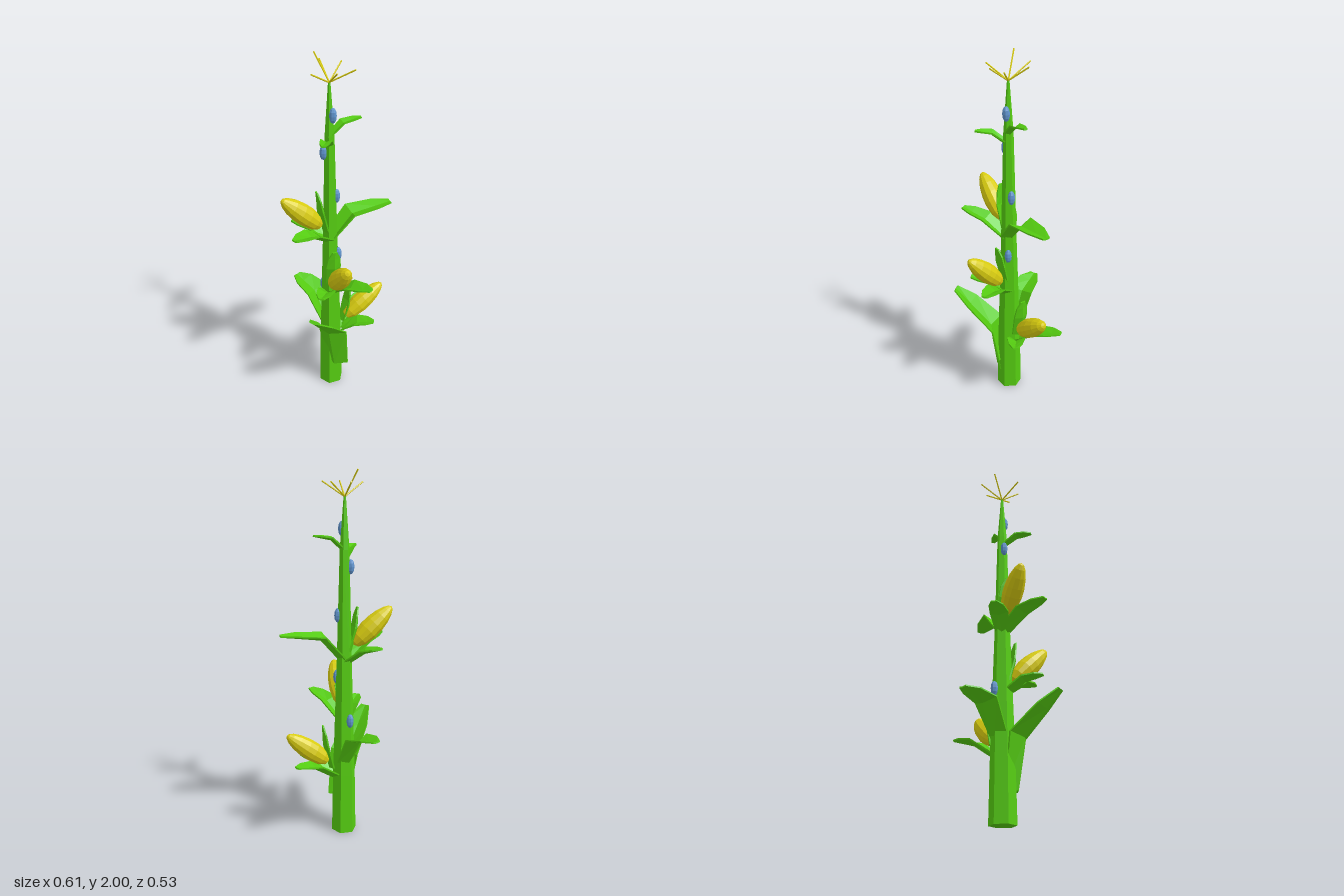
import * as THREE from 'three';

const V = (x, y, z) => new THREE.Vector3(x, y, z);
const UP = V(0, 1, 0);
const mat = (color, opts = {}) => new THREE.MeshStandardMaterial({ color, flatShading: true, ...opts });

export function createModel() {
  const plant = new THREE.Group();
  plant.name = 'cornPlant';
  const green = mat(0x55cc11);
  const leafGreen = mat(0x55cc11, { side: THREE.DoubleSide });
  const yellow = mat(0xd8cc10);
  const blue = mat(0x5f93cc);

  const add = (parent, name, geometry, material) => {
    const mesh = new THREE.Mesh(geometry, material);
    mesh.name = name;
    parent.add(mesh);
    return mesh;
  };

  // Place a mesh modelled along +y so that it points from a to b
  const aim = (mesh, a, b) => {
    mesh.position.copy(a);
    mesh.quaternion.setFromUnitVectors(UP, b.clone().sub(a).normalize());
    return mesh;
  };

  // Leaf: folded trough with a little thickness, lofted along base - bend - tip
  const leafGeometry = (base, bend, tip, width, baseWidth = 0.75) => {
    const spine = [base, bend, bend.clone().lerp(tip, 0.6), tip];
    const widths = [baseWidth, 1, 0.78, 0.3];
    const folds = [0.35, 0.27, 0.2, 0.1];
    const thick = 0.008;
    const out = tip.clone().sub(base).setY(0).normalize();
    const side = UP.clone().cross(out).normalize();
    const pos = [], index = [];
    spine.forEach((p, i) => {
      const along = spine[Math.min(i + 1, 3)].clone().sub(spine[Math.max(i - 1, 0)]).normalize();
      const normal = along.cross(side).normalize();
      const half = width * widths[i] / 2;
      const depth = half * folds[i] * 2;
      // ring: upper left, upper middle, upper right, lower right, lower middle, lower left
      for (const [s, lift] of [[-1, 0], [0, 0], [1, 0], [1, -thick], [0, -thick], [-1, -thick]]) {
        const q = p.clone().addScaledVector(side, s * half)
          .addScaledVector(normal, Math.abs(s) * depth * 0.8 + lift);
        pos.push(q.x, q.y, q.z);
      }
    });
    for (let i = 0; i < 3; i++) {
      for (let j = 0; j < 6; j++) {
        const a = i * 6 + j, b = i * 6 + (j + 1) % 6;
        index.push(a, a + 6, b, b, a + 6, b + 6);
      }
    }
    for (const [o, flip] of [[0, false], [18, true]]) {
      for (const [a, b, c] of [[0, 1, 5], [1, 4, 5], [1, 2, 4], [2, 3, 4]]) {
        index.push(o + a, o + (flip ? c : b), o + (flip ? b : c));
      }
    }
    const g = new THREE.BufferGeometry();
    g.setAttribute('position', new THREE.Float32BufferAttribute(pos, 3));
    g.setIndex(index);
    g.computeVertexNormals();
    return g;
  };

  // Hexagonal tapering stalk
  const stalkProfile = [[0, 0], [0.07, 0], [0.063, 0.35], [0.055, 0.6], [0.042, 1], [0.026, 1.6], [0.006, 1.87], [0, 1.87]]
    .map(([r, y]) => new THREE.Vector2(r, y));
  add(plant, 'stalk', new THREE.LatheGeometry(stalkProfile, 6, Math.PI / 6), green).position.x = -0.04;

  // Tassel of thin rods at the top
  const crown = V(-0.04, 1.865, 0);
  const tassel = new THREE.Group();
  tassel.name = 'tassel';
  plant.add(tassel);
  for (const [x, y, z] of [[-0.04, 1.94, -0.13], [0.047, 1.94, -0.06], [0.057, 1.94, 0.088],
    [-0.04, 1.94, 0.105], [-0.15, 1.935, 0.055], [-0.09, 1.998, -0.067]]) {
    const end = V(x, y, z);
    const length = crown.distanceTo(end);
    const rod = new THREE.CylinderGeometry(0.004, 0.004, length, 5).translate(0, length / 2, 0);
    aim(add(tassel, 'tasselRod', rod, yellow), crown, end);
  }

  // Free leaves: base, bend, tip, width
  for (const [name, base, bend, tip, width, baseWidth] of [
    ['lowerLeaf', V(-0.045, 0.17, 0.075), V(-0.085, 0.43, 0.095), V(-0.23, 0.655, 0.235), 0.18, 0.75],
    ['backLeaf', V(-0.05, 0.42, -0.04), V(-0.09, 0.58, -0.125), V(-0.15, 0.625, -0.255), 0.15],
    ['upperLeaf', V(-0.02, 1.01, 0.005), V(0.085, 1.13, 0.005), V(0.304, 1.16, 0.008), 0.135],
    ['topRightLeaf', V(-0.03, 1.6, 0.005), V(0.03, 1.655, 0.007), V(0.122, 1.675, 0.01), 0.06],
    ['topLeftLeaf', V(-0.05, 1.555, 0.02), V(-0.085, 1.6, 0.07), V(-0.13, 1.615, 0.14), 0.06],
  ]) add(plant, name, leafGeometry(base, bend, tip, width, baseWidth), leafGreen);

  // Ears: cob with two husk leaves and an upright one, modelled facing +z
  const cobLength = 0.29;
  const cobProfile = [[0, 0], [0.026, 0.04], [0.045, 0.17], [0.055, 0.38], [0.054, 0.55], [0.045, 0.74], [0.03, 0.89], [0.015, 0.97], [0, 1]]
    .map(([r, t]) => new THREE.Vector2(r, t * cobLength));
  const cobGeometry = new THREE.LatheGeometry(cobProfile, 12);
  const ears = [
    { at: V(0.02, 0.345, -0.01), turn: Math.PI / 2, tip: [0.263, 0.262], pitch: 0.65 },
    { at: V(-0.043, 0.655, 0.012), turn: 0, tip: [0.243, 0.285], pitch: 0.8 },
    { at: V(-0.05, 0.995, 0), turn: -Math.PI / 2, tip: [0.252, 0.295], pitch: 0.76 },
  ];
  for (const { at, turn, tip, pitch } of ears) {
    const ear = new THREE.Group();
    ear.name = 'ear';
    ear.position.copy(at);
    ear.rotation.y = turn;
    plant.add(ear);
    const end = V(0, tip[1], tip[0]);
    const start = end.clone().sub(V(0, Math.sin(pitch), Math.cos(pitch)).multiplyScalar(cobLength));
    aim(add(ear, 'cob', cobGeometry, yellow), start, end);
    add(ear, 'longHuskLeaf', leafGeometry(V(0.01, 0, 0.01), V(0.068, 0.085, 0.12), V(0.137, 0.13, 0.235), 0.11), leafGreen);
    add(ear, 'shortHuskLeaf', leafGeometry(V(-0.01, 0, 0.01), V(-0.06, 0.065, 0.085), V(-0.12, 0.095, 0.162), 0.1), leafGreen);
    add(ear, 'uprightHuskLeaf', leafGeometry(V(0, 0.05, 0.02), V(0, 0.19, 0.055), V(0, 0.3, 0.06), 0.085), leafGreen);
  }

  // Small buds on the stalk
  const budGeometry = new THREE.SphereGeometry(1, 8, 6).scale(0.02, 0.04, 0.02);
  for (const [x, y, z] of [[-0.03, 1.705, 0.02], [-0.073, 1.51, -0.002], [-0.006, 1.255, 0.006],
    [-0.005, 0.91, 0.028], [-0.06, 0.675, -0.053]]) {
    add(plant, 'bud', budGeometry, blue).position.set(x, y, z);
  }
  return plant;
}
